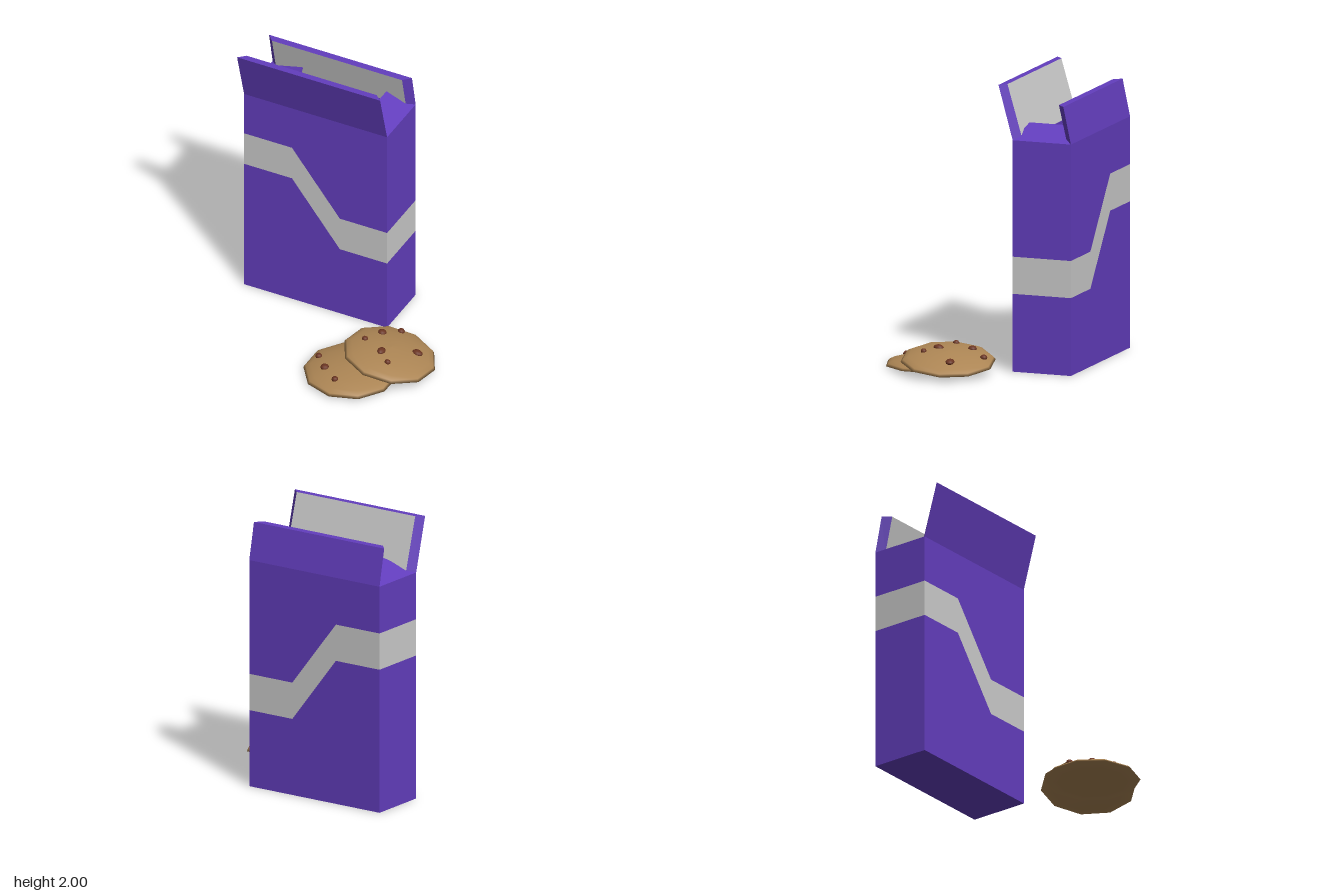
import * as THREE from 'three';

const purple = new THREE.MeshStandardMaterial({ color: 0x633ebe });
const grey = new THREE.MeshStandardMaterial({ color: 0xcccccc });
const dough = new THREE.MeshStandardMaterial({ color: 0xac8554 });
const chocolate = new THREE.MeshStandardMaterial({ color: 0x6b3522 });

// Carton extents
const X0 = -0.825, X1 = 0.28, Z0 = -0.675, Z1 = -0.245, H = 1.62, T = 0.05;

function add(parent, name, geometry, material) {
  const mesh = new THREE.Mesh(geometry, material);
  mesh.name = name;
  parent.add(mesh);
  return mesh;
}

function box(parent, name, material, x0, x1, y0, y1, z0, z1) {
  const mesh = add(parent, name, new THREE.BoxGeometry(x1 - x0, y1 - y0, z1 - z0), material);
  mesh.position.set((x0 + x1) / 2, (y0 + y1) / 2, (z0 + z1) / 2);
}

// Front or back wall: purple, zigzag grey stripe, purple
function stripedWall(parent, name, z) {
  const xs = [X0, -0.455, -0.085, X1];
  const edges = [[0, 0, 0, 0], [1.025, 1.025, 0.545, 0.545], [1.285, 1.285, 0.805, 0.805], [H, H, H, H]];
  for (let i = 0; i < 3; i++) {
    const low = xs.map((x, k) => new THREE.Vector2(x, edges[i][k]));
    const high = xs.map((x, k) => new THREE.Vector2(x, edges[i + 1][k])).reverse();
    const geo = new THREE.ExtrudeGeometry(new THREE.Shape([...low, ...high]), { depth: T, bevelEnabled: false });
    add(parent, name + (i === 1 ? 'Stripe' : 'Panel'), geo, i === 1 ? grey : purple).position.z = z;
  }
}

function quads(list) {
  const pos = [];
  for (const [a, b, c, d] of list) pos.push(...a, ...b, ...c, ...a, ...c, ...d);
  const geo = new THREE.BufferGeometry();
  geo.setAttribute('position', new THREE.Float32BufferAttribute(pos, 3));
  geo.computeVertexNormals();
  return geo;
}

// Folded flap with mitred ends. u runs along the hinge; each [y, d] is a height and a depth.
function flap(parent, name, place, u0, u1, taper, outer, inner) {
  const ring = ([base, tip], inset) => [
    place(u0 + inset, ...base), place(u1 - inset, ...base),
    place(u1 - inset - taper, ...tip), place(u0 + inset + taper, ...tip)];
  const o = ring(outer, 0), n = ring(inner, T);
  const faces = [o];
  for (let i = 0; i < 4; i++) {
    const j = (i + 1) % 4;
    faces.push([o[j], o[i], n[i], n[j]]);
  }
  const group = new THREE.Group();
  group.name = name;
  add(group, name + 'Card', quads(faces), purple);
  add(group, name + 'Lining', quads([[n[1], n[0], n[3], n[2]]]), grey);
  parent.add(group);
}

// Cookie with a domed top; chips are [x, z, width, depth]
const R = 0.33;
const dome = r => 0.075 * Math.pow(Math.max(0, 1 - (r / R) ** 2), 0.6);

function cookie(parent, name, bottom, turn, chips) {
  const group = new THREE.Group();
  group.name = name;
  const profile = [[0, -bottom], [0.24, -bottom], [R, 0]];
  for (const r of [0.315, 0.28, 0.2, 0.1, 0]) profile.push([r, dome(r)]);
  const geo = new THREE.LatheGeometry(profile.map(p => new THREE.Vector2(...p)), 10);
  add(group, name + 'Dough', geo, dough).rotation.y = turn;
  for (const [x, z, w, d] of chips) {
    const chip = add(group, 'chocolateChip', new THREE.SphereGeometry(1, 10, 8), chocolate);
    chip.scale.set(w, 0.02, d);
    chip.position.set(x, dome(Math.hypot(x, z)), z);
  }
  parent.add(group);
  return group;
}

export function createModel() {
  const model = new THREE.Group();
  model.name = 'cookieCarton';

  // Carton walls and floor
  const carton = new THREE.Group();
  carton.name = 'carton';
  model.add(carton);
  stripedWall(carton, 'front', Z1 - T);
  stripedWall(carton, 'back', Z0);
  for (const [name, x, lo, hi] of [['left', X1 - T, 0.545, 0.805], ['right', X0, 1.025, 1.285]]) {
    box(carton, name + 'LowerPanel', purple, x, x + T, 0, lo, Z0 + T, Z1 - T);
    box(carton, name + 'Stripe', grey, x, x + T, lo, hi, Z0 + T, Z1 - T);
    box(carton, name + 'UpperPanel', purple, x, x + T, hi, H, Z0 + T, Z1 - T);
  }
  box(carton, 'floor', purple, X0 + T, X1 - T, 0, T, Z0 + T, Z1 - T);

  // Open flaps
  flap(carton, 'frontFlap', (u, y, d) => [u, y, d], X0, X1, 0,
    [[H, Z1], [2, -0.14]], [[H, -0.298], [2, -0.187]]);
  flap(carton, 'backFlap', (u, y, d) => [-u, y, d], -X1, -X0, 0,
    [[H, Z0], [1.88, -0.62]], [[H, -0.627], [1.88, -0.567]]);
  flap(carton, 'leftFlap', (u, y, d) => [d, y, -u], -Z1, -Z0, 0.05,
    [[H, X1], [1.715, 0.09]], [[H - 0.01, X1 - T], [1.67, 0.065]]);
  flap(carton, 'rightFlap', (u, y, d) => [d, y, u], Z0, Z1, 0.05,
    [[H, X0], [1.7, -0.56]], [[H - 0.01, X0 + T], [1.655, -0.555]]);

  // Cookies: one flat, one leaning on it
  const flat = cookie(model, 'flatCookie', 0.015, 0, [
    [-0.25, -0.005, 0.024, 0.024], [-0.145, 0.11, 0.03, 0.03], [-0.02, 0.2, 0.023, 0.023]]);
  flat.position.set(0.3, 0.015, 0.34);
  const leaning = cookie(model, 'leaningCookie', 0.035, -0.12, [
    [-0.045, -0.245, 0.025, 0.025], [-0.135, -0.125, 0.03, 0.03], [0.165, -0.08, 0.038, 0.03],
    [-0.195, 0.02, 0.022, 0.022], [-0.035, 0.085, 0.028, 0.037], [0.055, 0.16, 0.022, 0.02]]);
  leaning.position.set(0.5, 0.09, 0.145);
  leaning.rotation.set(-0.08, 0, -0.16);

  return model;
}
